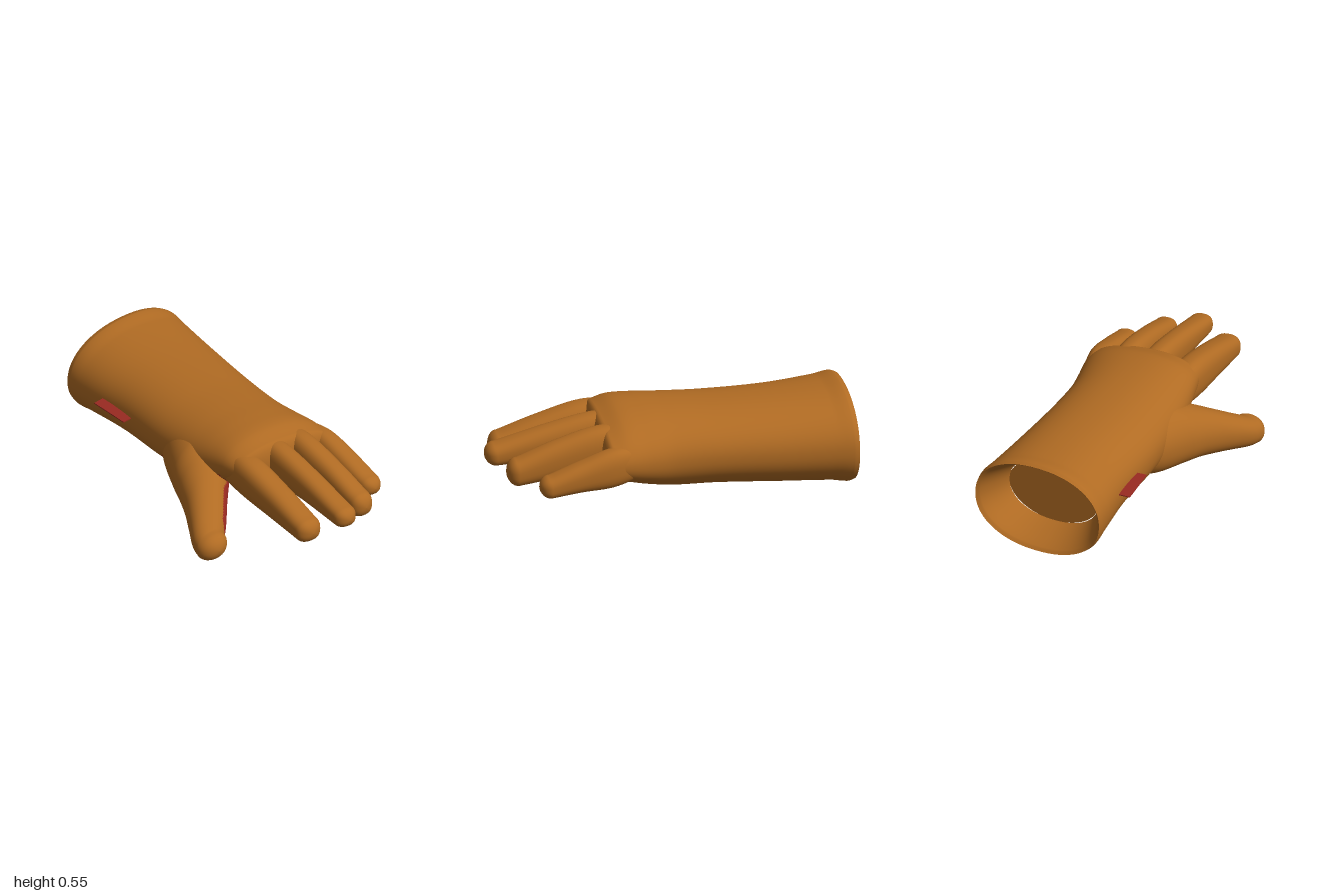
import * as THREE from 'three';

const leather = new THREE.MeshStandardMaterial({ color: 0xb06b23 });
leather.name = 'tan leather';
const patch = new THREE.MeshStandardMaterial({ color: 0x9a2a22 });
patch.name = 'red patch';

// Smooth curve through the sections, using z (the first entry) as parameter
function smoothSections(sections, steps) {
  const last = sections.length - 1;
  const slope = (i, k) => {
    const a = sections[Math.max(i - 1, 0)], b = sections[Math.min(i + 1, last)];
    return (b[k] - a[k]) / (b[0] - a[0]);
  };
  const rows = [];
  for (let i = 0; i < last; i++) {
    const a = sections[i], b = sections[i + 1], d = b[0] - a[0];
    for (let s = 0; s < steps; s++) {
      const t = s / steps, t2 = t * t, t3 = t2 * t;
      rows.push(a.map((v, k) => (2 * t3 - 3 * t2 + 1) * v + (t3 - 2 * t2 + t) * d * slope(i, k)
        + (3 * t2 - 2 * t3) * b[k] + (t3 - t2) * d * slope(i + 1, k)));
    }
  }
  rows.push(sections[last].slice());
  return rows;
}

// Skin over sections [z, left x, right x, bottom y, top y, shear], closed by
// a dome of length tip; isRed(position, normal) picks the patch faces
function loft(name, sections, { tip = 0, steps = 8, sides = 48, power = 0.92, isRed = null } = {}) {
  const rows = smoothSections(sections, steps).map(([z, x0, x1, y0, y1, shear]) => ({
    z, cx: (x0 + x1) / 2, cy: (y0 + y1) / 2, rx: (x1 - x0) / 2, ry: (y1 - y0) / 2, shear,
  }));
  if (tip) {
    const end = rows[rows.length - 1];
    for (let k = 1; k <= 8; k++) {
      const a = (k / 8) * Math.PI / 2, f = Math.max(Math.cos(a), 0.001);
      rows.push({ ...end, z: end.z + tip * Math.sin(a), rx: end.rx * f, ry: end.ry * f });
    }
  }
  const bulge = v => Math.sign(v) * Math.pow(Math.abs(v), power);
  const points = [], index = [];
  rows.forEach(({ z, cx, cy, rx, ry, shear }, i) => {
    for (let j = 0; j < sides; j++) {
      const a = (j / sides) * Math.PI * 2;
      const dx = rx * bulge(Math.cos(a));
      points.push(cx + dx, cy + ry * bulge(Math.sin(a)) + shear * dx, z);
      if (i === 0) continue;
      const c = i * sides + j, d = i * sides + (j + 1) % sides;
      const p = c - sides, q = d - sides;
      index.push(p, q, c, q, d, c);
    }
  });
  const geometry = new THREE.BufferGeometry();
  geometry.setAttribute('position', new THREE.Float32BufferAttribute(points, 3));
  geometry.setIndex(index);
  geometry.computeVertexNormals();
  let material = leather;
  if (isRed) {
    const { position, normal } = geometry.attributes;
    const plain = [], red = [];
    const mean = (attribute, tri) => tri.reduce(
      (sum, v) => sum.add(new THREE.Vector3().fromBufferAttribute(attribute, v)),
      new THREE.Vector3()).divideScalar(3);
    for (let i = 0; i < index.length; i += 3) {
      const tri = index.slice(i, i + 3);
      (isRed(mean(position, tri), mean(normal, tri)) ? red : plain).push(...tri);
    }
    geometry.setIndex([...plain, ...red]);
    geometry.addGroup(0, plain.length, 0);
    geometry.addGroup(plain.length, red.length, 1);
    material = [leather, patch];
  }
  const mesh = new THREE.Mesh(geometry, material);
  mesh.name = name;
  return mesh;
}

export function createModel() {
  const glove = new THREE.Group();
  glove.name = 'glove';

  // Sleeve and palm in one skin, with the patch on the underside near the thumb
  glove.add(loft('sleeveAndPalm', [
    [-1.0, -0.275, 0.475, 0.008, 0.54, 0],
    [-0.97, -0.28, 0.48, 0.0, 0.55, 0],
    [-0.88, -0.272, 0.475, 0.018, 0.535, 0],
    [-0.6, -0.245, 0.455, 0.042, 0.52, 0],
    [-0.25, -0.25, 0.432, 0.068, 0.518, 0],
    [0.0, -0.245, 0.43, 0.088, 0.53, -0.03],
    [0.15, -0.225, 0.452, 0.135, 0.538, -0.08],
    [0.27, -0.205, 0.474, 0.185, 0.535, -0.11],
    [0.36, -0.185, 0.482, 0.225, 0.505, -0.12],
  ], {
    tip: 0.05, steps: 9, sides: 96,
    isRed: (p, n) => n.y < -0.35
      && ((p.x + 0.08) / 0.25) ** 2 + (p.z / 0.27) ** 2 < 1,
  }));

  // Hollow cuff opening with its flat floor
  const floorZ = -0.8;
  glove.add(loft('cuffLining', [
    [floorZ, -0.17, 0.37, 0.09, 0.46, 0],
    [-0.9, -0.215, 0.415, 0.055, 0.495, 0],
    [-0.98, -0.255, 0.455, 0.025, 0.525, 0],
    [-1.0, -0.275, 0.475, 0.008, 0.54, 0],
  ], { sides: 96, steps: 5 }));
  const floor = new THREE.Mesh(new THREE.CircleGeometry(1, 64), leather);
  floor.name = 'cuffFloor';
  floor.scale.set(0.272, 0.187, 1);
  floor.rotation.y = Math.PI;
  floor.position.set(0.1, 0.275, floorZ);
  glove.add(floor);

  // Thumb, with a broad base that merges into the palm
  glove.add(loft('thumb', [
    [-0.3, -0.18, 0.08, 0.16, 0.4, 0.1],
    [-0.18, -0.255, 0.06, 0.105, 0.43, 0.15],
    [0.0, -0.335, 0.04, 0.09, 0.44, 0.2],
    [0.1, -0.368, -0.02, 0.08, 0.4, 0.2],
    [0.2, -0.405, -0.1, 0.062, 0.345, 0.2],
    [0.3, -0.455, -0.19, 0.045, 0.28, 0.18],
    [0.4, -0.506, -0.275, 0.024, 0.215, 0.12],
    [0.46, -0.52, -0.335, 0.017, 0.18, 0.05],
  ], {
    tip: 0.08, steps: 9, sides: 72,
    isRed: (p, n) => p.z > -0.2 && p.z < 0.45 && p.y < 0.27
      && p.x > -0.37 + 0.45 * (p.y - 0.04) && n.x * 0.8 - n.y * 0.6 > 0.1,
  }));

  // Fingers: sections as [z, left x, right x, bottom y, top y]
  const fingers = {
    indexFinger: [
      [0.18, -0.18, -0.02, 0.27, 0.47], [0.4, -0.19, -0.012, 0.245, 0.485],
      [0.65, -0.178, -0.01, 0.23, 0.43], [0.87, -0.166, -0.01, 0.218, 0.362]],
    middleFinger: [
      [0.18, 0.02, 0.15, 0.29, 0.5], [0.4, 0.018, 0.17, 0.26, 0.502],
      [0.65, 0.03, 0.174, 0.272, 0.46], [0.94, 0.04, 0.176, 0.27, 0.392]],
    ringFinger: [
      [0.18, 0.19, 0.31, 0.28, 0.48], [0.4, 0.18, 0.332, 0.245, 0.49],
      [0.65, 0.198, 0.342, 0.23, 0.435], [0.86, 0.213, 0.35, 0.215, 0.365]],
    littleFinger: [
      [0.18, 0.34, 0.44, 0.25, 0.41], [0.36, 0.352, 0.49, 0.212, 0.425],
      [0.55, 0.37, 0.507, 0.21, 0.375], [0.72, 0.388, 0.515, 0.2, 0.318]],
  };
  for (const [name, sections] of Object.entries(fingers)) {
    glove.add(loft(name, sections.map(s => [...s, -0.08]), { tip: 0.06, power: 0.8, sides: 40 }));
  }

  // Small flat tab sewn to the side of the sleeve
  const tab = new THREE.Mesh(new THREE.BoxGeometry(0.1, 0.006, 0.235), patch);
  tab.name = 'sideTab';
  tab.position.set(-0.255, 0.31, -0.6);
  tab.rotation.y = 0.08;
  glove.add(tab);

  return glove;
}
